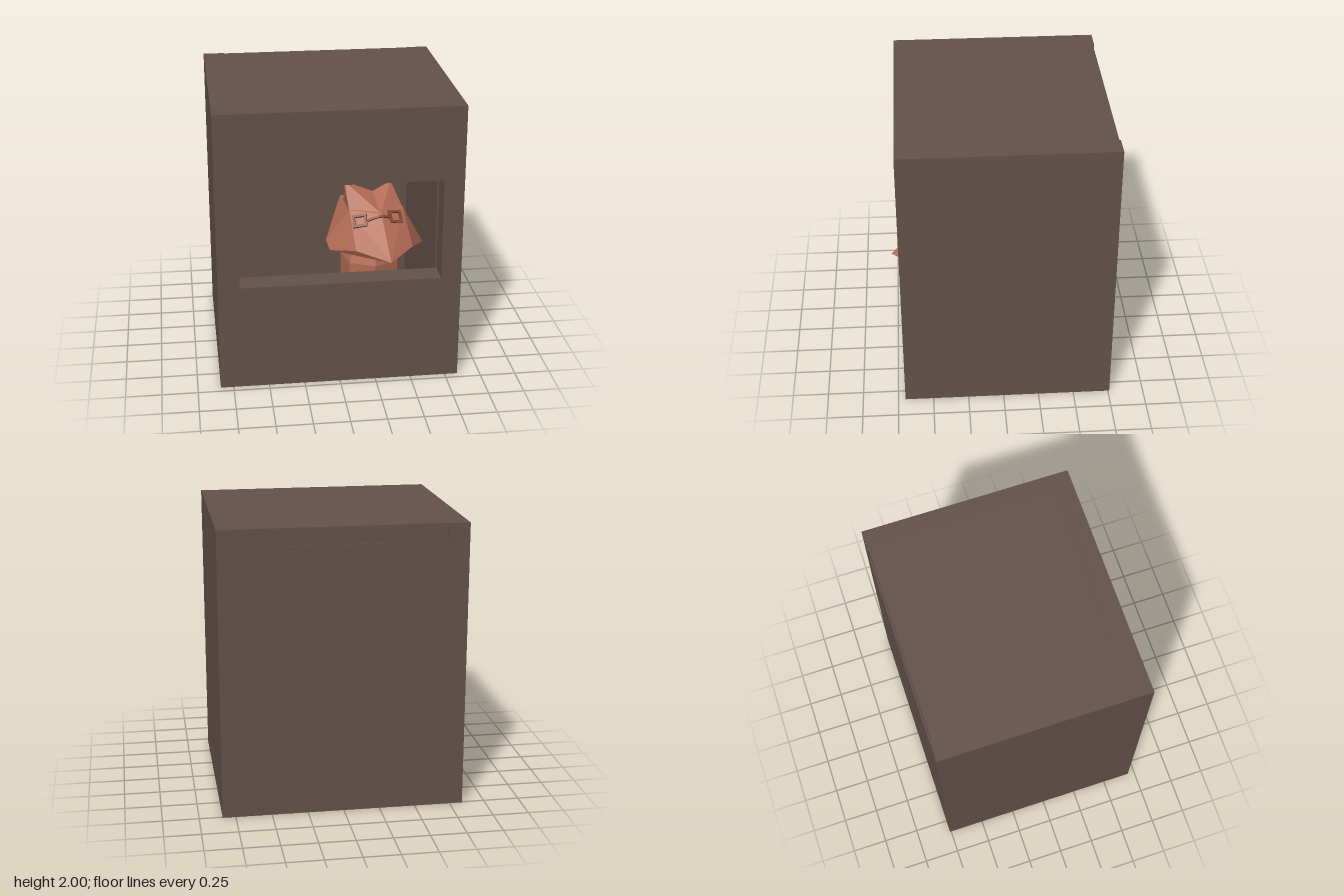
import * as THREE from 'three';
import { ConvexGeometry } from 'three/addons/geometries/ConvexGeometry.js';

export function createModel() {
  const group = new THREE.Group();
  const material = (name, color) => {
    const m = new THREE.MeshStandardMaterial({ color, flatShading: true });
    m.name = name;
    return m;
  };
  const brown = material('crate brown', 0x64514a);
  const salmon = material('salmon fur', 0xb06a53);
  const frameBrown = material('spectacle brown', 0x83493a);

  const add = (name, geometry, mat, parent = group) => {
    const mesh = new THREE.Mesh(geometry, mat);
    mesh.name = name;
    parent.add(mesh);
    return mesh;
  };
  // Box given by its lowest and highest corners
  const block = (name, a, b) => {
    const mesh = add(name, new THREE.BoxGeometry(b[0] - a[0], b[1] - a[1], b[2] - a[2]), brown);
    mesh.position.set((a[0] + b[0]) / 2, (a[1] + b[1]) / 2, (a[2] + b[2]) / 2);
    return mesh;
  };
  // Rectangle outline, usable as a shape or a hole
  const rect = (path, x0, y0, x1, y1) => {
    path.moveTo(x0, y0).lineTo(x1, y0).lineTo(x1, y1).lineTo(x0, y1).closePath();
    return path;
  };
  const plateWithHole = (outer, inner, depth) => {
    const shape = rect(new THREE.Shape(), ...outer);
    shape.holes.push(rect(new THREE.Path(), ...inner));
    return new THREE.ExtrudeGeometry(shape, { depth, bevelEnabled: false });
  };
  const hull = (name, points, parent) =>
    add(name, new ConvexGeometry(points.map(p => new THREE.Vector3(...p))), salmon, parent);

  // Hollow crate, open underneath, with a window in front
  add('frontWall', plateWithHole([-0.84, 0, 0.84, 2], [-0.69, 0.76, 0.7, 1.48], 0.17), brown)
    .position.z = 0.53;
  block('leftWall', [0.69, 0, -0.76], [0.84, 2, 0.53]);
  block('rightWall', [-0.84, 0, -0.76], [-0.69, 2, 0.53]);
  block('backWall', [-0.69, 0, -0.76], [0.69, 1.88, -0.62]);
  // Lid sits slightly inset at the back
  block('lid', [-0.69, 1.88, -0.75], [0.69, 2, 0.53]);

  // Animal looking out of the window
  const animal = new THREE.Group();
  animal.name = 'animal';
  group.add(animal);

  hull('head', [
    [0.34, 0.92, 0.76], // nose
    [0.12, 0.95, 0.6], [0.52, 0.95, 0.57], // muzzle sides
    [-0.04, 0.89, 0.43], [-0.06, 0.94, 0.36], [0.63, 0.89, 0.36], // cheeks
    [0.1, 1.17, 0.4], [0.31, 1.17, 0.49], [0.48, 1.17, 0.38], // brow
    [0.28, 1.26, 0.28], [0.08, 1.14, 0.04], [0.47, 1.14, 0.04], // crown
    [0.02, 0.92, 0.06], [0.55, 0.92, 0.06], [0.28, 1, -0.06], // back
    [0.1, 0.84, 0.3], [0.48, 0.85, 0.3], [0.28, 0.84, 0.06], [0.3, 0.85, 0.46] // chin
  ], animal);
  hull('rightEar', [
    [0.08, 1.34, 0.27], [0.1, 1.16, 0.4], [0.31, 1.17, 0.48], [0.28, 1.26, 0.28], [0.09, 1.13, 0.14]
  ], animal);
  hull('leftEar', [
    [0.41, 1.32, 0.25], [0.48, 1.16, 0.38], [0.31, 1.17, 0.48], [0.28, 1.26, 0.28], [0.46, 1.13, 0.14]
  ], animal);

  // Faceted body tapering to the bottom
  const profile = [[0, 0.32], [0.13, 0.32], [0.22, 0.55], [0.22, 0.76], [0.17, 0.9], [0, 0.9]];
  const body = add('body', new THREE.LatheGeometry(profile.map(p => new THREE.Vector2(...p)), 7), salmon, animal);
  body.position.set(0.28, 0, 0.24);

  // Spectacles lying on the slanted face
  const lenses = [
    ['rightLensFrame', [0.165, 1.115, 0.475], -0.4, 0.25],
    ['leftLensFrame', [0.405, 1.13, 0.462], 0.58, -0.25]
  ];
  for (const [name, position, yaw, roll] of lenses) {
    const lens = add(name, plateWithHole([-0.05, -0.045, 0.05, 0.045], [-0.033, -0.028, 0.033, 0.028], 0.025), frameBrown, animal);
    lens.position.set(...position);
    lens.rotation.set(-0.66, yaw, roll, 'YXZ');
  }
  const bridge = new THREE.CatmullRomCurve3([
    new THREE.Vector3(0.21, 1.13, 0.505), new THREE.Vector3(0.26, 1.155, 0.515),
    new THREE.Vector3(0.31, 1.165, 0.515), new THREE.Vector3(0.37, 1.145, 0.49)
  ]);
  add('spectacleBridge', new THREE.TubeGeometry(bridge, 6, 0.011, 4), frameBrown, animal);

  return group;
}
